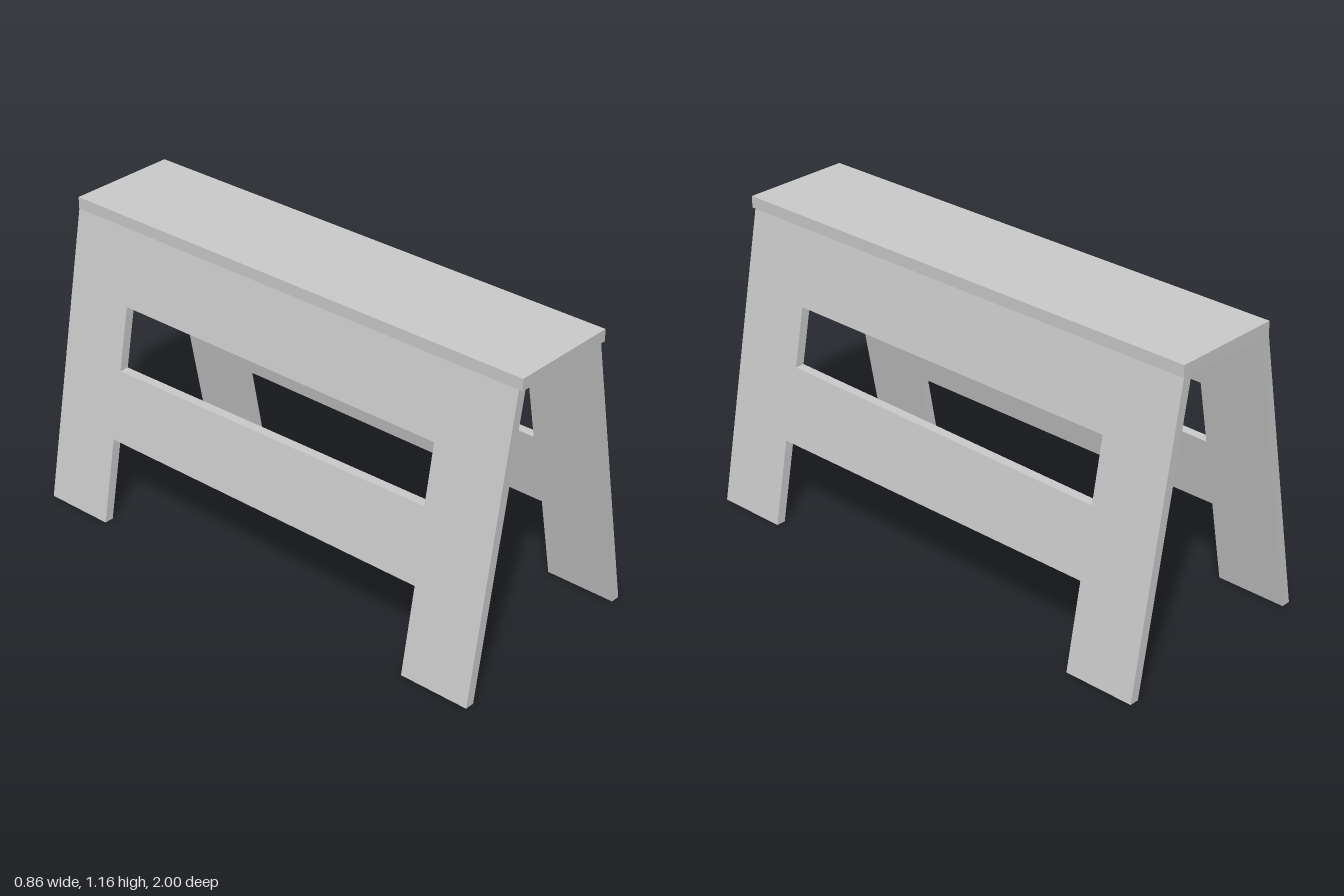
import * as THREE from 'three';

const BOARD_BOTTOM = 1.12, BOARD_TOP = 1.165;
const THICK = 0.037;   // horizontal thickness of a leg frame
const FOOT_X = 0.43;   // outer edge of the feet
const LEAN = 0.19;     // inward lean per unit of height

const points = (list) => list.map(([z, y]) => new THREE.Vector2(z, y));

// One leaning side: two legs joined by an upper and a lower rail
function frameGeometry(side) {
  const shape = new THREE.Shape(points([
    [-1, 0], [-0.72, 0], [-0.72, 0.33], [0.705, 0.33], [0.705, 0],
    [0.985, 0], [0.985, BOARD_BOTTOM], [-1, BOARD_BOTTOM],
  ]));
  shape.holes.push(new THREE.Path(points([
    [-0.72, 0.595], [-0.72, 0.838], [0.695, 0.838], [0.695, 0.613],
  ])));
  const geo = new THREE.ExtrudeGeometry(shape, { depth: THICK, bevelEnabled: false });
  geo.rotateY(-Math.PI / 2); // outline now runs along z, thickness along -x
  if (side < 0) geo.translate(THICK, 0, 0);
  // Shear the upright panel inward towards the board
  const pos = geo.attributes.position;
  for (let i = 0; i < pos.count; i++) {
    pos.setX(i, pos.getX(i) + side * (FOOT_X - LEAN * pos.getY(i)));
  }
  geo.computeVertexNormals();
  return geo;
}

export function createModel() {
  const group = new THREE.Group();
  group.name = 'trestle';
  const material = new THREE.MeshStandardMaterial({ color: 0xcccccc, flatShading: true });
  const add = (name, geo) => {
    const mesh = new THREE.Mesh(geo, material);
    mesh.name = name;
    group.add(mesh);
    return mesh;
  };

  // Top board
  const board = add('topBoard', new THREE.BoxGeometry(0.436, BOARD_TOP - BOARD_BOTTOM, 2));
  board.position.y = (BOARD_TOP + BOARD_BOTTOM) / 2;

  // Leg frames
  add('leftLegFrame', frameGeometry(1));
  add('rightLegFrame', frameGeometry(-1));
  return group;
}
